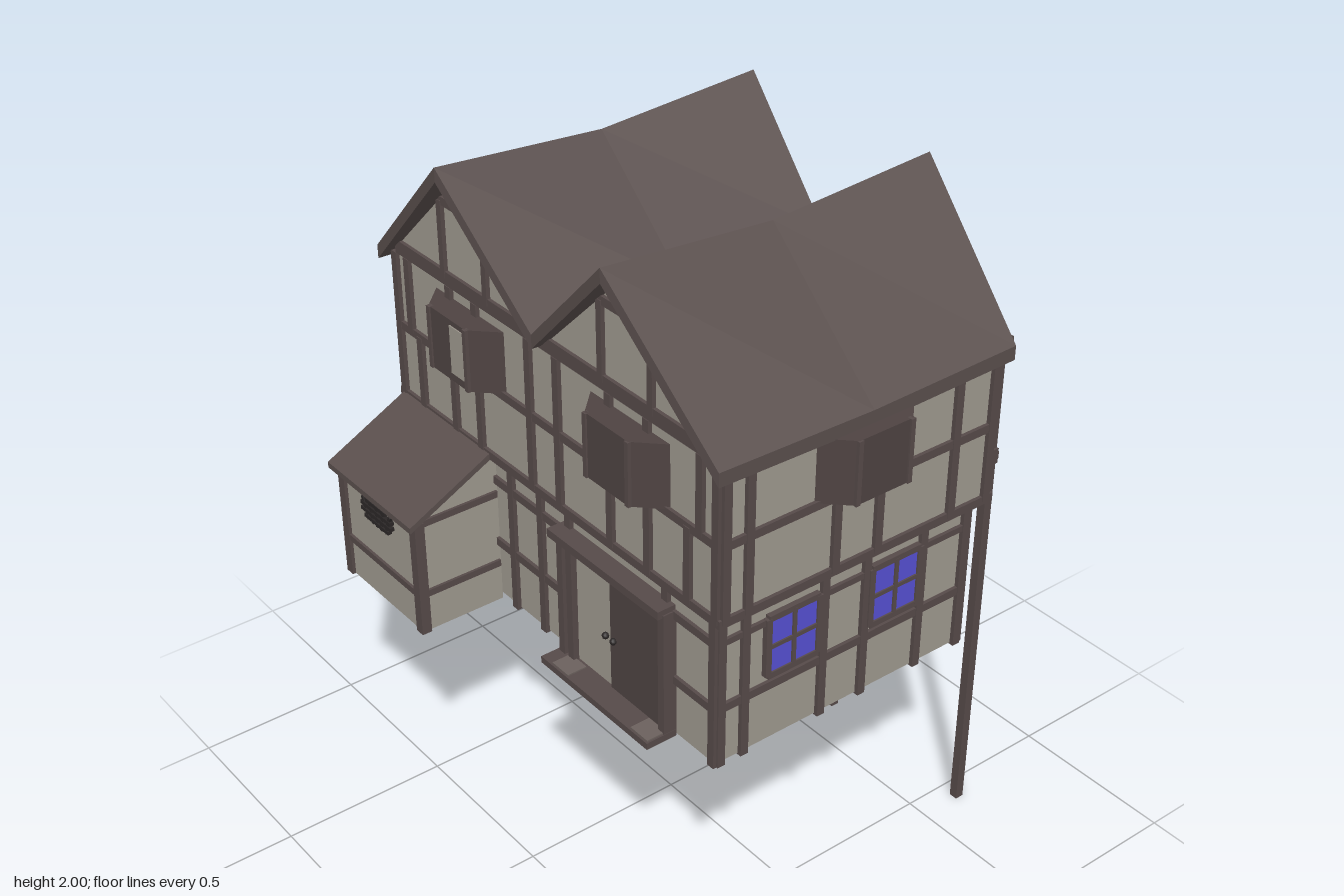
import * as THREE from 'three';

const mat = (name, color, side = THREE.FrontSide) => {
  const m = new THREE.MeshStandardMaterial({ color, side });
  m.name = name;
  return m;
};

export function createModel() {
  const plaster = mat('plaster', 0x9f998f, THREE.DoubleSide);
  const wood = mat('timber', 0x564a49);
  const roofing = mat('roofing', 0x5a4f4d);
  const dark = mat('darkWood', 0x4e4342);
  const glass = mat('blueGlass', 0x5650d2, THREE.DoubleSide);
  const stone = mat('stone', 0x6b615d);
  const iron = mat('iron', 0x2b2727);
  const house = new THREE.Group();
  house.name = 'timberHouse';

  const add = (parent, name, geo, material, x = 0, y = 0, z = 0) => {
    const m = new THREE.Mesh(geo, material);
    m.name = name;
    m.position.set(x, y, z);
    parent.add(m);
    return m;
  };
  // Box given by its limits on each axis
  const box = (parent, name, material, x0, x1, y0, y1, z0, z1) =>
    add(parent, name, new THREE.BoxGeometry(x1 - x0, y1 - y0, z1 - z0), material,
      (x0 + x1) / 2, (y0 + y1) / 2, (z0 + z1) / 2);
  // Group whose local x runs along a wall and local z points outward
  const side = (name, x, z, turn) => {
    const g = new THREE.Group();
    g.name = name;
    g.position.set(x, 0, z);
    g.rotation.y = turn;
    house.add(g);
    return g;
  };
  const T = 0.024;
  const post = (g, u, y0, y1, w = T) => box(g, 'post', wood, u - w / 2, u + w / 2, y0, y1, -0.015, 0.012);
  const rail = (g, y, u0, u1, w = T) => box(g, 'rail', wood, u0, u1, y - w / 2, y + w / 2, -0.015, 0.01);
  const frame = (g, posts, rails, u0, u1, y0, y1) => {
    posts.forEach(u => post(g, u, y0, y1));
    rails.forEach(y => rail(g, y, u0, u1));
  };

  // Upper storey with twin gables
  const gable = new THREE.Shape([[-0.69, 1.18], [0.69, 1.18], [0.69, 1.62], [0.34, 1.965], [0, 1.63],
    [-0.34, 1.965], [-0.69, 1.62]].map(p => new THREE.Vector2(...p)));
  add(house, 'upperWalls', new THREE.ExtrudeGeometry(gable, { depth: 0.88, bevelEnabled: false }), plaster, 0, 0, -0.485);
  box(house, 'floorSlab', wood, -0.7, 0.7, 1.17, 1.195, -0.5, 0.405);

  // Lower walls, open underneath
  const lowerWall = (g, w) => add(g, 'lowerWall', new THREE.PlaneGeometry(w, 0.46), plaster, 0, 0.945, 0);
  const zc = -0.0425;
  const lower = {
    front: side('lowerFront', 0, 0.375, 0), back: side('lowerBack', 0, -0.46, Math.PI),
    right: side('lowerPlusX', 0.655, zc, Math.PI / 2), left: side('lowerMinusX', -0.655, zc, -Math.PI / 2),
  };
  const upper = {
    front: side('upperFront', 0, 0.395, 0), back: side('upperBack', 0, -0.485, Math.PI),
    right: side('upperPlusX', 0.69, 0, Math.PI / 2), left: side('upperMinusX', -0.69, 0, -Math.PI / 2),
  };
  for (const k of ['front', 'back']) lowerWall(lower[k], 1.31);
  for (const k of ['right', 'left']) lowerWall(lower[k], 0.835);

  frame(lower.front, [-0.65, -0.2, -0.066, 0.06, 0.465, 0.65], [1.09], -0.655, 0.655, 0.71, 1.18);
  rail(lower.front, 0.89, -0.655, 0.06);
  rail(lower.front, 0.89, 0.465, 0.655);
  frame(lower.back, [-0.65, -0.46, -0.31, -0.1, 0.06, 0.2, 0.52, 0.65], [1.09], -0.655, 0.655, 0.71, 1.18);
  rail(lower.back, 0.89, -0.655, 0.2);
  rail(lower.back, 0.89, 0.52, 0.655);

  // Leaded window: pane, frame and cross bars
  const window = (g, u, w = 0.165) => {
    const y0 = 0.925, y1 = 1.1, h = w / 2;
    add(g, 'windowPane', new THREE.PlaneGeometry(w, y1 - y0), glass, u, (y0 + y1) / 2, 0.011);
    for (const s of [-1, 0, 1]) {
      const t = s ? 0.009 : 0.006;
      box(g, 'windowUpright', wood, u + s * h - t, u + s * h + t, y0, y1, 0, 0.016);
      const y = (y0 + y1) / 2 + s * (y1 - y0) / 2;
      box(g, 'windowBar', wood, u - h, u + h, y - t, y + t, 0, 0.0155);
    }
  };
  for (const [k, s] of [['right', -1], ['left', 1]]) {
    const at = z => s * (z - zc), g = lower[k];
    frame(g, [0.365, 0.29, 0.035, -0.105, -0.3, -0.45].map(at), [0.89], -0.41, 0.41, 0.71, 1.18);
    rail(g, 1.09, -0.41, 0.41, 0.018);
    [0.138, -0.203].forEach(z => window(g, at(z)));
    const u = upper[k];
    const ends = [s * 0.39, s * -0.48].sort((a, b) => a - b);
    frame(u, [0.385, 0.315, 0.04, -0.1, -0.35, -0.475].map(z => s * z), [1.4, 1.6], ...ends, 1.18, 1.6);
  }
  window(lower.back, -0.2, 0.15);

  // Upper front and back framing, gable timbers included
  for (const g of [upper.front, upper.back]) {
    frame(g, [-0.68, -0.066, 0.055, 0.68], [1.4], -0.69, 0.69, 1.18, 1.62);
    [-0.58, -0.42, -0.3, 0.27, 0.42, 0.575].forEach(u => post(g, u, 1.18, 1.4));
    [-0.62, -0.42, -0.3, 0.27, 0.42, 0.62].forEach(u => post(g, u, 1.4, 1.62));
    rail(g, 1.64, -0.67, 0.67, 0.04);
    for (const c of [-0.34, 0.34]) {
      rail(g, 1.86, c - 0.11, c + 0.11);
      for (const d of [-0.097, 0.097]) post(g, c + d, 1.64, 1.86, 0.02);
    }
  }

  // Shuttered bay windows
  const bay = (g, u) => {
    const plan = new THREE.Shape([[-0.155, 0], [0.155, 0], [0.085, 0.07], [-0.085, 0.07]].map(p => new THREE.Vector2(...p)));
    const geo = new THREE.ExtrudeGeometry(plan, { depth: 0.18, bevelEnabled: false }).rotateX(Math.PI / 2);
    add(g, 'bayWindow', geo, dark, u, 1.585, 0);
    for (const d of [-0.083, 0.083]) box(g, 'bayPost', wood, u + d - 0.007, u + d + 0.007, 1.405, 1.585, 0.06, 0.075);
  };
  bay(upper.front, -0.335);
  bay(upper.front, 0.345);
  bay(upper.right, 0.045);
  bay(upper.left, -0.045);
  bay(upper.back, 0.34);
  box(upper.front, 'openShutterPanel', plaster, -0.322, -0.262, 1.43, 1.57, 0.066, 0.073);

  // Sagging roof slopes, bent from a box: across from a to b, along z
  const slope = (name, xa, ya, xb, yb) => {
    const geo = new THREE.BoxGeometry(1, 1, 1, 1, 1, 2);
    const p = geo.attributes.position;
    for (let i = 0; i < p.count; i++) {
      const t = p.getX(i) + 0.5, v = p.getZ(i) * 2;
      const y = THREE.MathUtils.lerp(ya, yb, t);
      const rise = THREE.MathUtils.clamp((y - 1.64) / 0.36, 0, 1);
      const sag = (0.01 + 0.025 * rise) * (1 - Math.abs(v));
      p.setXYZ(i, THREE.MathUtils.lerp(xa, xb, t), y - sag + (p.getY(i) - 0.5) * 0.04, -0.04 + v * (0.47 + 0.04 * rise));
    }
    const flat = geo.toNonIndexed();
    flat.computeVertexNormals();
    add(house, name, flat, roofing);
  };
  slope('roofOuterMinusX', -0.72, 1.63, -0.34, 2);
  slope('roofInnerMinusX', -0.34, 2, 0, 1.67);
  slope('roofInnerPlusX', 0, 1.67, 0.34, 2);
  slope('roofOuterPlusX', 0.34, 2, 0.72, 1.63);

  // Front doorway: posts, lintel, leaves and step
  const f = lower.front;
  for (const u of [0.06, 0.1, 0.487]) box(f, 'doorPost', wood, u - 0.012, u + 0.012, 0.72, 1.1, 0, 0.04);
  box(f, 'doorLintel', wood, 0.03, 0.495, 1.092, 1.116, 0, 0.055);
  box(f, 'doorLeafPale', plaster, 0.11, 0.262, 0.73, 1.09, 0.002, 0.022);
  box(f, 'doorLeafDark', dark, 0.262, 0.478, 0.73, 1.09, 0, 0.028);
  for (const u of [0.247, 0.28]) add(f, 'doorKnob', new THREE.SphereGeometry(0.01, 8, 6), iron, u, 0.89, 0.033);
  box(f, 'frontStep', wood, 0.04, 0.5, 0.708, 0.728, 0, 0.095);
  for (const u of [0.12, 0.46]) box(f, 'stepStone', stone, u - 0.035, u + 0.035, 0.712, 0.732, 0.03, 0.09);

  // Arched back door with a stone surround
  const arch = (w, h, spring) => {
    const s = new THREE.Shape();
    s.moveTo(-w, 0);
    s.lineTo(w, 0);
    s.lineTo(w, spring);
    s.quadraticCurveTo(w * 0.9, spring + (h - spring) * 0.7, 0, h);
    s.quadraticCurveTo(-w * 0.9, spring + (h - spring) * 0.7, -w, spring);
    return s;
  };
  const b = lower.back, surround = arch(0.145, 0.44, 0.25);
  surround.holes.push(arch(0.11, 0.395, 0.25));
  add(b, 'backDoorSurround', new THREE.ExtrudeGeometry(surround, { depth: 0.03, bevelEnabled: false }), stone, 0.36, 0.72, 0);
  add(b, 'backDoor', new THREE.ExtrudeGeometry(arch(0.112, 0.398, 0.25), { depth: 0.012, bevelEnabled: false }), dark, 0.36, 0.72, 0);
  for (let i = 0; i < 3; i++) for (const s of [-1, 1])
    add(b, 'surroundBlock', new THREE.BoxGeometry(0.045, 0.05, 0.036), stone, 0.36 + s * 0.135, 0.76 + i * 0.095, 0.016);
  add(b, 'backDoorKnob', new THREE.SphereGeometry(0.01, 8, 6), iron, 0.29, 0.9, 0.018);
  box(b, 'backStep', wood, 0.19, 0.53, 0.708, 0.726, 0, 0.085);

  // Front annex with a lean-to roof
  const annex = new THREE.Group();
  annex.name = 'annex';
  house.add(annex);
  const prof = new THREE.Shape([[0.375, 0.695], [0.635, 0.695], [0.635, 1.045], [0.375, 1.165]].map(p => new THREE.Vector2(...p)));
  for (const x of [-0.655, -0.28])
    add(annex, 'annexSideWall', new THREE.ShapeGeometry(prof).rotateY(-Math.PI / 2), plaster, x);
  add(annex, 'annexFrontWall', new THREE.PlaneGeometry(0.375, 0.35), plaster, -0.4675, 0.87, 0.635);
  for (const x of [-0.65, -0.285]) box(annex, 'annexPost', wood, x - 0.015, x + 0.015, 0.695, 1.05, 0.615, 0.645);
  box(annex, 'annexFrontRail', wood, -0.65, -0.285, 0.81, 0.83, 0.625, 0.643);
  for (const x of [-0.655, -0.28]) {
    box(annex, 'annexSideRail', wood, x - 0.008, x + 0.008, 0.81, 0.83, 0.38, 0.635);
    box(annex, 'annexTopRail', wood, x - 0.008, x + 0.008, 1.035, 1.055, 0.38, 0.635);
  }
  const leanTo = (parent, name, x0, x1, pts) => {
    const s = new THREE.Shape(pts.map(p => new THREE.Vector2(-p[0], p[1])));
    add(parent, name, new THREE.ExtrudeGeometry(s, { depth: x1 - x0, bevelEnabled: false }).rotateY(Math.PI / 2), roofing, x0);
  };
  leanTo(annex, 'annexRoof', -0.682, -0.263, [[0.39, 1.195], [0.39, 1.175], [0.663, 1.037], [0.663, 1.055]]);
  // Fan-shaped grille
  [0.05, 0.075, 0.075, 0.06].forEach((w, i) =>
    box(annex, 'grilleBar', iron, -0.47 - w, -0.47 + w, 1.003 - i * 0.018, 1.014 - i * 0.018, 0.634, 0.648));
  for (let i = -2; i <= 2; i++)
    add(annex, 'grilleSpoke', new THREE.BoxGeometry(0.01, 0.07, 0.01), iron, -0.47 + i * 0.028, 0.978, 0.641).rotation.z = -i * 0.2;

  // Back balcony on tall posts
  const balcony = new THREE.Group();
  balcony.name = 'balcony';
  house.add(balcony);
  box(balcony, 'balconyDeck', wood, -0.565, 0.575, 1.178, 1.2, -0.65, -0.48);
  box(balcony, 'deckBeam', wood, -0.565, 0.575, 1.165, 1.21, -0.648, -0.622);
  for (const x of [-0.543, 0.006, 0.555]) {
    box(balcony, 'tallPost', wood, x - 0.013, x + 0.013, 0, 1.545, -0.648, -0.622);
    box(balcony, 'roofJoist', wood, x - 0.01, x + 0.01, 1.515, 1.535, -0.635, -0.49);
    add(balcony, 'roofBrace', new THREE.BoxGeometry(0.012, 0.07, 0.012), wood, x, 1.5, -0.61).rotation.x = 0.8;
  }
  box(balcony, 'handrail', wood, -0.55, 0.56, 1.345, 1.363, -0.645, -0.625);
  box(balcony, 'roofBeam', wood, -0.555, 0.57, 1.515, 1.54, -0.645, -0.625);
  for (let i = 1; i < 20; i++) {
    const x = -0.543 + i * 0.0549;
    box(balcony, 'baluster', wood, x - 0.005, x + 0.005, 1.2, 1.35, -0.64, -0.63);
  }
  for (const x of [-0.543, 0.555]) {
    box(balcony, 'sideRail', wood, x - 0.009, x + 0.009, 1.345, 1.363, -0.63, -0.49);
    box(balcony, 'wallPost', wood, x - 0.012, x + 0.012, 1.2, 1.58, -0.515, -0.49);
    for (const z of [-0.535, -0.585]) box(balcony, 'sideBaluster', wood, x - 0.005, x + 0.005, 1.2, 1.35, z - 0.005, z + 0.005);
  }
  leanTo(balcony, 'balconyRoof', -0.562, 0.574, [[-0.485, 1.605], [-0.665, 1.54], [-0.665, 1.526], [-0.485, 1.588]]);
  box(upper.back, 'balconyDoor', dark, -0.45, -0.24, 1.195, 1.52, 0, 0.018);
  add(upper.back, 'balconyDoorKnob', new THREE.SphereGeometry(0.01, 8, 6), iron, -0.27, 1.36, 0.024);

  return house;
}
